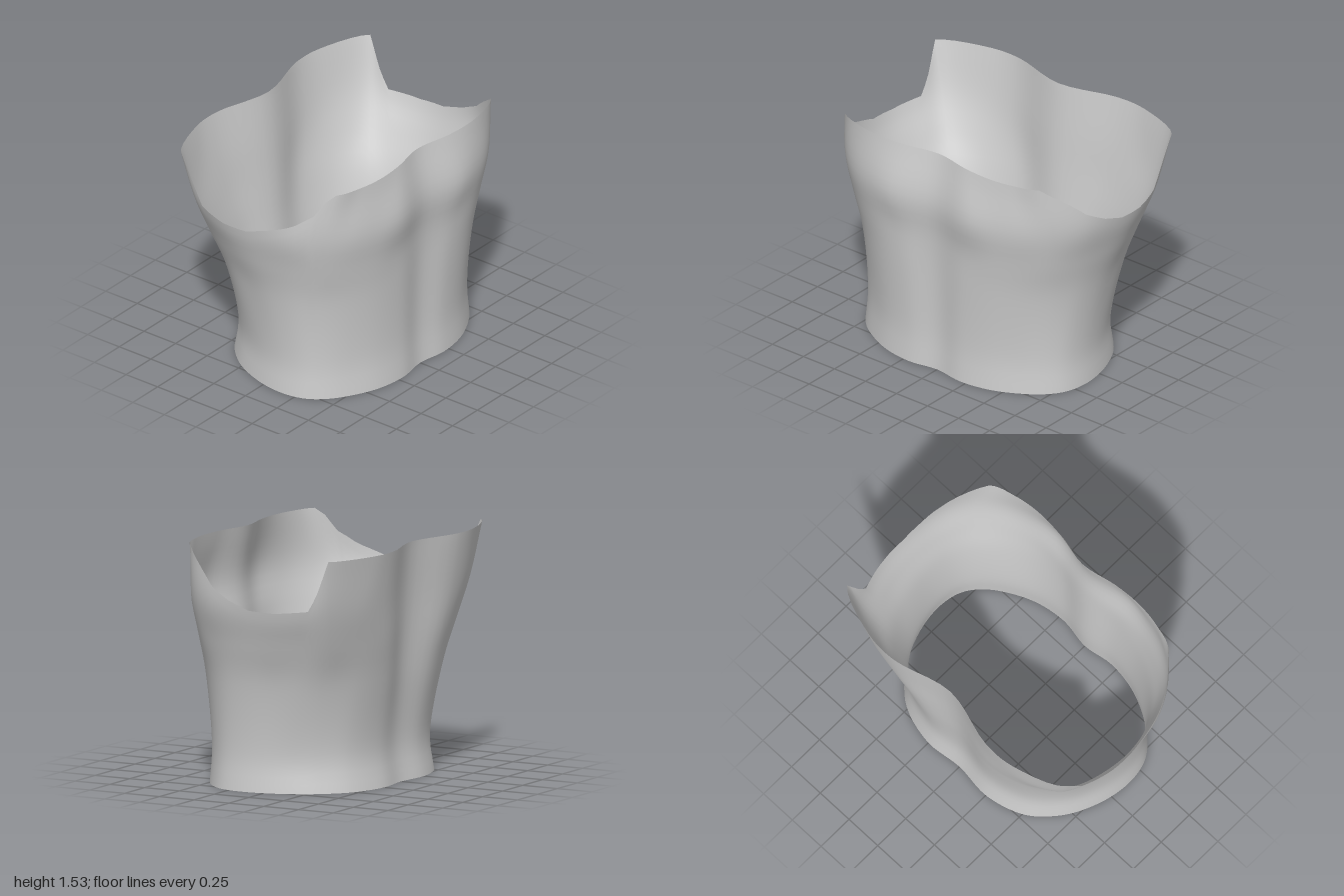
import * as THREE from 'three';

// Half outlines [x, z] from front centre round the +x side to back centre, by height
const sections = [
  { y: .22, half: [[0, .588], [.2, .616], [.4, .587], [.57, .512], [.7, .42], [.783, .31], [.815, .17], [.8, 0], [.735, -.18], [.65, -.31], [.5, -.44], [.25, -.51], [0, -.49]] },
  { y: .7, half: [[0, .6], [.23, .635], [.44, .61], [.62, .53], [.76, .41], [.84, .27], [.87, .1], [.855, -.07], [.8, -.26], [.7, -.4], [.53, -.52], [.28, -.575], [0, -.53]] },
  { y: .95, half: [[0, .615], [.26, .652], [.47, .635], [.66, .56], [.8, .45], [.89, .29], [.935, .08], [.93, -.12], [.87, -.32], [.785, -.46], [.59, -.57], [.33, -.617], [0, -.55]] },
  { y: 1.2, half: [[0, .64], [.3, .695], [.5, .665], [.69, .595], [.84, .48], [.95, .3], [1, .05], [1, -.18], [.94, -.39], [.87, -.51], [.65, -.62], [.38, -.65], [0, -.57]] },
  { y: 1.53, half: [[0, .58], [.25, .625], [.45, .635], [.62, .61], [.78, .55], [.94, .29], [.99, .05], [.99, -.18], [.96, -.42], [.955, -.545], [.62, -.685], [.4, -.695], [0, -.6]] },
];

// Hem: the lowest outline flared outward, most at the back
const hem = { y: 0, half: sections[0].half.map(([x, z]) => [x * 1.02, z * (z < 0 ? 1.06 : 1.02)]) };

// Rim heights [outline index, y]; the -x shoulder has a small notch
const rimBack = [[5.6, 1.23], [6.2, 1.18], [7, 1.173], [8, 1.195], [8.4, 1.32], [8.6, 1.39], [9, 1.525], [12, 1.525]];
const rimLeft = [[0, 1.53], [4, 1.53], [4.5, 1.42], [5, 1.31], ...rimBack];
const rimRight = [[0, 1.53], [4, 1.53], [4.3, 1.46], [4.4, 1.38], [4.85, 1.3], ...rimBack];

function rimHeight(keys, c) {
  for (let i = 1; i < keys.length; i++) {
    const [c0, y0] = keys[i - 1], [c1, y1] = keys[i];
    if (c <= c1) return y0 + (y1 - y0) * (c - c0) / (c1 - c0);
  }
  return keys[keys.length - 1][1];
}

// Closed smooth loop for one height, mirrored across x
function loopCurve({ y, half }) {
  const left = half.map(([x, z]) => new THREE.Vector3(x, y, z));
  const right = half.slice(1, -1).reverse().map(([x, z]) => new THREE.Vector3(-x, y, z));
  return new THREE.CatmullRomCurve3([...left, ...right], true);
}

// Point on a rising curve at a given height
function pointAtHeight(curve, y) {
  let lo = 0, hi = 1;
  for (let i = 0; i < 22; i++) {
    const mid = (lo + hi) / 2;
    if (curve.getPoint(mid).y < y) lo = mid; else hi = mid;
  }
  return curve.getPoint((lo + hi) / 2);
}

function torsoGeometry(columns = 120, rows = 24) {
  const loops = [hem, ...sections].map(loopCurve);
  const positions = [], indices = [];
  for (let i = 0; i < columns; i++) {
    const u = i / columns, c = u * 24;
    const rise = new THREE.CatmullRomCurve3(loops.map((l) => l.getPoint(u)));
    const rim = c <= 12 ? rimHeight(rimLeft, c) : rimHeight(rimRight, 24 - c);
    for (let j = 0; j <= rows; j++) {
      const y = rim * j / rows, p = pointAtHeight(rise, y);
      positions.push(p.x, y, p.z);
    }
  }
  const id = (i, j) => (i % columns) * (rows + 1) + j;
  for (let i = 0; i < columns; i++) {
    for (let j = 0; j < rows; j++) {
      indices.push(id(i, j), id(i + 1, j), id(i + 1, j + 1));
      indices.push(id(i, j), id(i + 1, j + 1), id(i, j + 1));
    }
  }
  const geometry = new THREE.BufferGeometry();
  geometry.setAttribute('position', new THREE.Float32BufferAttribute(positions, 3));
  geometry.setIndex(indices);
  geometry.computeVertexNormals();
  return geometry;
}

export function createModel() {
  const group = new THREE.Group();
  group.name = 'torsoShell';
  const material = new THREE.MeshStandardMaterial({ color: 0xcccccc, side: THREE.DoubleSide });
  material.name = 'light grey';
  // Open-ended body wall
  const wall = new THREE.Mesh(torsoGeometry(), material);
  wall.name = 'bodyWall';
  group.add(wall);
  return group;
}
